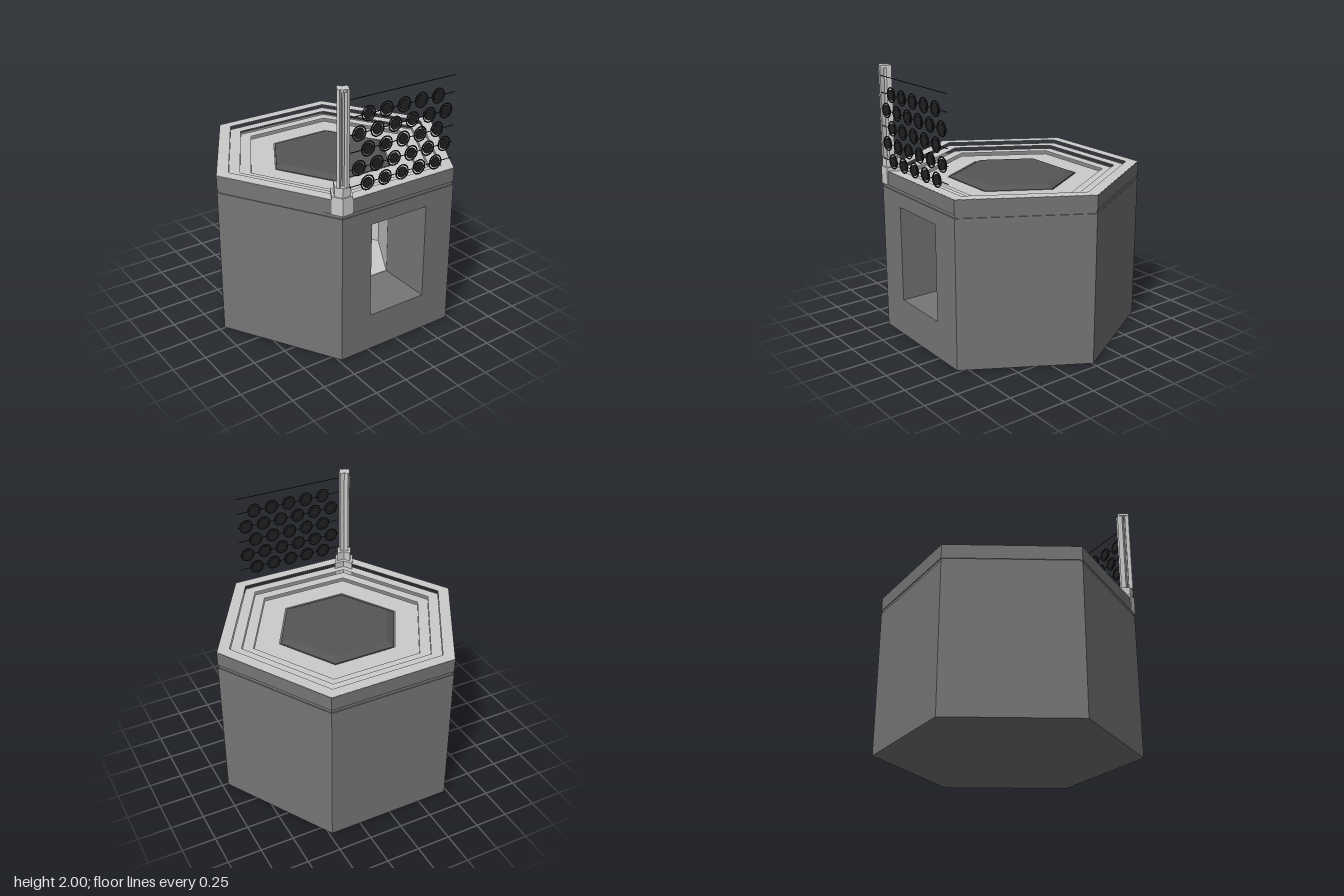
import * as THREE from 'three';

const mat = (color, extra = {}) => new THREE.MeshStandardMaterial({ color, flatShading: true, ...extra });
const light = mat(0xcccccc);
const stone = mat(0x767676);
const dark = mat(0x555555);
const black = new THREE.MeshStandardMaterial({ color: 0x222222 });

const R = 0.956; // outer corner radius of the hexagon
const S = Math.sqrt(3) / 2;

// Corners of a hexagon with points on the x axis, as [x, z]
const hex = (r) => [...Array(6)].map((_, i) => {
  const a = i * Math.PI / 3;
  return [r * Math.cos(a), r * Math.sin(a)];
});
const toVecs = (pts) => pts.map(([x, z]) => new THREE.Vector2(x, -z));

// Upright prism over an [x, z] outline, with an optional hole
function prism(parent, name, pts, y0, y1, material, hole) {
  const shape = new THREE.Shape(toVecs(pts));
  if (hole) shape.holes.push(new THREE.Path(toVecs(hole)));
  const geo = new THREE.ExtrudeGeometry(shape, { depth: y1 - y0, bevelEnabled: false });
  geo.rotateX(-Math.PI / 2).translate(0, y0, 0);
  const mesh = new THREE.Mesh(geo, material);
  mesh.name = name;
  parent.add(mesh);
  return mesh;
}

function part(parent, name) {
  const g = new THREE.Group();
  g.name = name;
  parent.add(g);
  return g;
}

// Hexagonal body with a doorway leading to a hexagonal chamber
function addBody(root) {
  const g = part(root, 'body');
  const room = 0.47, d = room / 2;
  const o = hex(R), i = hex(room);
  prism(g, 'bodyBase', o, 0, 0.28, stone);
  const walls = [
    [d, o[1][1]], o[1], o[0], o[5], o[4], o[3], o[2], [-d, o[2][1]],
    i[2], i[3], i[4], i[5], i[0], i[1],
  ];
  prism(g, 'bodyWalls', walls, 0.28, 1.0, stone);
  prism(g, 'bodyTop', o, 1.0, 1.105, stone);
  prism(g, 'groove', hex(R - 0.008), 1.105, 1.13, stone);

  // Pale lining and floor of the chamber, open towards the doorway
  const lining = new THREE.Mesh(
    new THREE.CylinderGeometry(0.467, 0.467, 0.72, 5, 1, true, Math.PI / 6, Math.PI * 5 / 3),
    mat(0xcccccc, { side: THREE.BackSide }));
  lining.name = 'chamberLining';
  lining.position.y = 0.64;
  g.add(lining);
  prism(g, 'chamberFloor', hex(0.468), 0.278, 0.284, light);
}

// Cap with steps descending towards a bevelled centre panel
function addCap(root) {
  const g = part(root, 'cap');
  prism(g, 'capEdge', hex(R), 1.13, 1.234, stone, hex(0.952));
  prism(g, 'capRim', hex(0.953), 1.131, 1.235, light, hex(0.86));
  prism(g, 'upperStep', hex(0.86), 1.13, 1.21, light, hex(0.77));
  prism(g, 'middleStep', hex(0.77), 1.13, 1.185, light, hex(0.68));
  prism(g, 'sunkenFloor', hex(0.68), 1.13, 1.16, light, hex(0.48));
  const panel = new THREE.Mesh(new THREE.CylinderGeometry(0.41, 0.47, 0.025, 6), dark);
  panel.name = 'centrePanel';
  panel.rotation.y = Math.PI / 6;
  panel.position.y = 1.1735;
  g.add(panel);
  prism(g, 'panelSeat', hex(0.47), 1.13, 1.161, dark);
}

// Chevron outline hugging the front right corner.
// inset: shift inwards, arm: length along each face, depth: inward thickness
function chevron(inset, arm, depth) {
  const ax = [0.5, -S]; // inward axis at this corner
  const apex = [-R / 2 + ax[0] * inset, R * S + ax[1] * inset];
  const c = [apex[0] + arm, apex[1]];
  const e = [apex[0] - arm / 2, apex[1] - arm * S];
  const inner = ([x, z]) => [x + ax[0] * depth, z + ax[1] * depth];
  return [apex, c, inner(c), inner(apex), inner(e), e];
}

// Corner post on a stepped foot, with two thin rails in front
function addPost(root) {
  const g = part(root, 'cornerPost');
  prism(g, 'postFoot', chevron(-0.006, 0.08, 0.14), 1.13, 1.26, light);
  prism(g, 'postCollar', chevron(0.003, 0.06, 0.1), 1.26, 1.33, light);
  prism(g, 'postCore', chevron(0.04, 0.036, 0.036), 1.33, 2.0, light);
  prism(g, 'postHead', chevron(0.0, 0.045, 0.06), 1.98, 2.0, light);
  const corner = [-R / 2, R * S];
  const rails = [
    [corner[0] + 0.035, corner[1] - 0.006, 0],
    [corner[0] - 0.0125, corner[1] - 0.027, Math.PI / 3],
  ];
  for (const [x, z, turn] of rails) {
    const rail = new THREE.Mesh(new THREE.BoxGeometry(0.02, 0.67, 0.03), light);
    rail.name = 'postRail';
    rail.position.set(x, 1.665, z);
    rail.rotation.y = -turn;
    g.add(rail);
  }
}

// Rows of ringed discs strung on horizontal wires
function addScreen(root) {
  const g = part(root, 'discScreen');
  const z = 0.838;
  const wireGeo = new THREE.CylinderGeometry(0.003, 0.003, 0.86, 6).rotateZ(Math.PI / 2);
  const discGeo = new THREE.CylinderGeometry(0.038, 0.038, 0.008, 20).rotateX(Math.PI / 2);
  const ringGeo = new THREE.TorusGeometry(0.051, 0.005, 6, 24);
  const counts = [5, 6, 5, 6, 5, 0];
  counts.forEach((n, row) => {
    const y = 1.33 + row * 0.12;
    const wire = new THREE.Mesh(wireGeo, black);
    wire.name = 'wire';
    wire.position.set(0, y, z);
    g.add(wire);
    for (let k = 0; k < n; k++) {
      for (const [name, geo] of [['disc', discGeo], ['discRing', ringGeo]]) {
        const m = new THREE.Mesh(geo, black);
        m.name = name;
        m.position.set((k - (n - 1) / 2) * 0.144, y, z);
        g.add(m);
      }
    }
  });
}

export function createModel() {
  const root = new THREE.Group();
  root.name = 'hexagonalTower';
  addBody(root);
  addCap(root);
  addPost(root);
  addScreen(root);
  root.children.forEach((c) => { c.position.z = -0.008; });
  return root;
}
